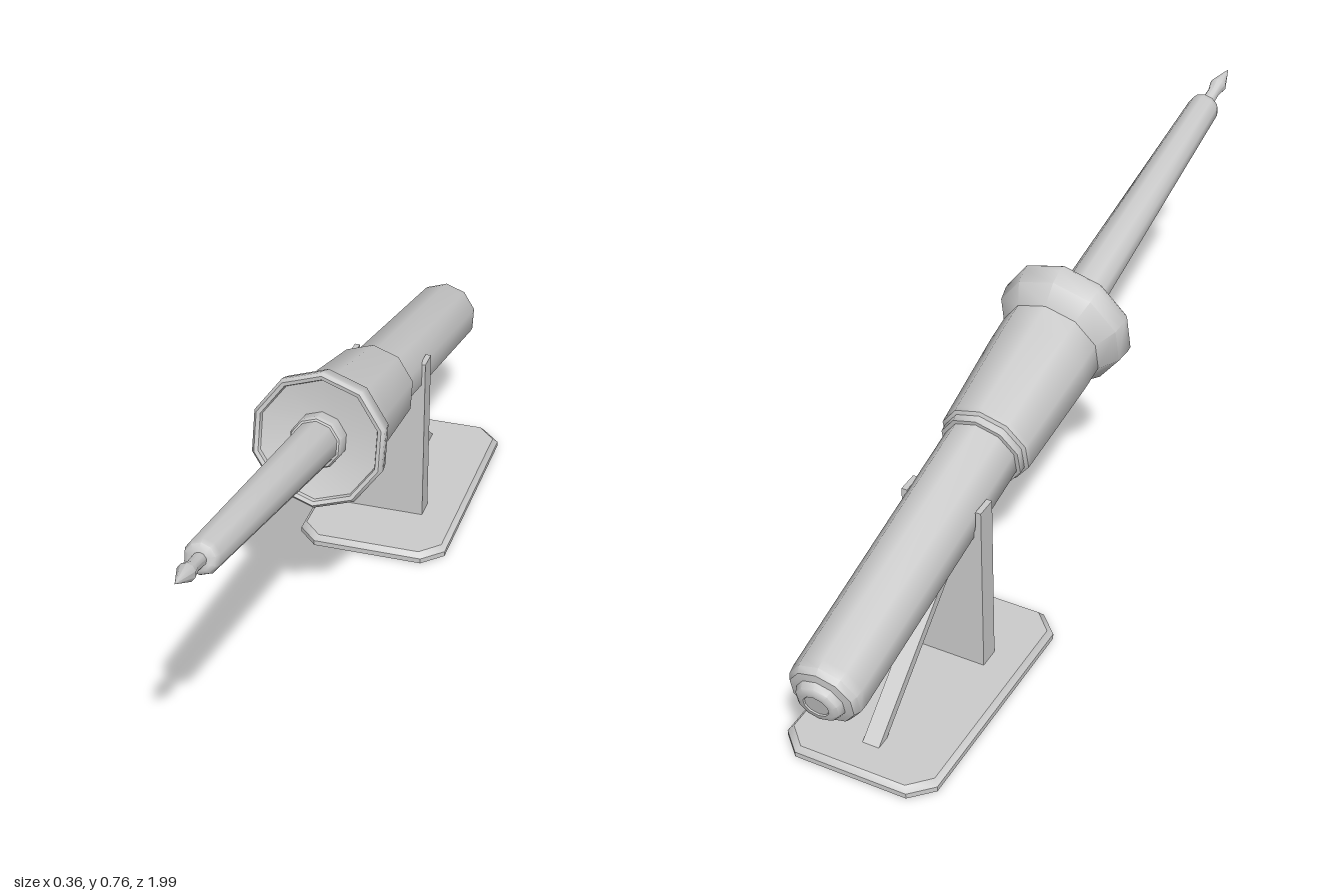
import * as THREE from 'three';
import { toCreasedNormals } from 'three/addons/utils/BufferGeometryUtils.js';

export function createModel() {
  const model = new THREE.Group();
  model.name = 'solderingIronOnStand';
  const grey = new THREE.MeshStandardMaterial({ color: 0xcccccc });
  grey.name = 'light grey';

  const add = (parent, name, geometry, crease = 0.7) => {
    const mesh = new THREE.Mesh(toCreasedNormals(geometry, crease), grey);
    mesh.name = name;
    parent.add(mesh);
    return mesh;
  };

  // Iron: ten-sided turned parts; profiles are [radius, distance behind the tip]
  const iron = new THREE.Group();
  iron.name = 'iron';
  const tilt = THREE.MathUtils.degToRad(13.1);
  iron.rotation.x = Math.PI / 2 - tilt;
  iron.position.set(0, 0.753, 1);
  model.add(iron);
  const turned = (name, profile) => {
    const points = profile.map(([r, s]) => new THREE.Vector2(r, -s)).reverse();
    add(iron, name, new THREE.LatheGeometry(points, 10));
  };

  turned('tip', [[0, 0], [0.02, 0.062], [0.014, 0.09], [0.016, 0.15]]);
  turned('barrel', [[0, 0.132], [0.024, 0.132], [0.033, 0.138], [0.038, 0.152], [0.053, 0.9]]);
  turned('barrelRing', [[0.05, 0.866], [0.057, 0.868], [0.061, 0.876], [0.061, 0.92]]);
  turned('collar', [
    [0.03, 0.912], [0.07, 0.91], [0.137, 0.896], [0.14, 0.887], [0.149, 0.884],
    [0.156, 0.892], [0.156, 0.906], [0.15, 0.94], [0.12, 0.985], [0.11, 0.99],
  ]);
  turned('grip', [[0.12, 0.96], [0.119, 1.05], [0.107, 1.29], [0.106, 1.303], [0.098, 1.308], [0.097, 1.325], [0.07, 1.327]]);
  turned('handle', [
    [0.088, 1.28], [0.084, 1.98], [0.082, 2.0], [0.074, 2.014], [0.056, 2.018],
    [0.05, 2.032], [0.042, 2.038], [0.03, 2.038], [0.028, 2.035], [0, 2.035],
  ]);

  // Stand
  const stand = new THREE.Group();
  stand.name = 'stand';
  model.add(stand);

  // Base plate with cut corners; the upper rim is drawn in
  const w = 0.182, front = -0.255, back = -0.88, cut = 0.048;
  const zMid = (front + back) / 2, d = (front - back) / 2;
  const outline = new THREE.Shape([
    [w, d - cut], [w - cut, d], [cut - w, d], [-w, d - cut],
    [-w, cut - d], [cut - w, -d], [w - cut, -d], [w, cut - d],
  ].map(([x, y]) => new THREE.Vector2(x, y)));
  const plate = new THREE.ExtrudeGeometry(outline, { depth: 0.025, steps: 2, bevelEnabled: false });
  const p = plate.attributes.position;
  for (let i = 0; i < p.count; i++) {
    if (p.getZ(i) > 0.02) p.setXY(i, p.getX(i) * 0.94, p.getY(i) * 0.965);
  }
  plate.rotateX(-Math.PI / 2).translate(0, 0, zMid);
  add(stand, 'basePlate', plate);

  // Rear slab of the post, with a cradle between two prongs
  const axisY = 0.418, px = 0.095, inner = 0.082, cx = -0.004;
  const fork = new THREE.Shape();
  fork.moveTo(-px, 0.005);
  fork.lineTo(px, 0.005);
  fork.lineTo(px, 0.45);
  fork.lineTo(inner, 0.45);
  fork.lineTo(inner, axisY);
  fork.absarc(0, axisY, inner, 0, Math.PI, true);
  fork.lineTo(-inner, 0.45);
  fork.lineTo(-px, 0.45);
  fork.closePath();
  const forkGeometry = new THREE.ExtrudeGeometry(fork, { depth: 0.05, bevelEnabled: false, curveSegments: 10 });
  forkGeometry.translate(cx, 0, -0.475);
  add(stand, 'cradlePost', forkGeometry);

  // Rounded front of the post, leaning back at its top
  const nose = new THREE.Shape();
  nose.moveTo(-px, 0);
  nose.lineTo(px, 0);
  nose.quadraticCurveTo(px, -0.03, px - 0.035, -0.03);
  nose.lineTo(0.035 - px, -0.03);
  nose.quadraticCurveTo(-px, -0.03, -px, 0);
  const noseGeometry = new THREE.ExtrudeGeometry(nose, { depth: 0.33, steps: 6, bevelEnabled: false, curveSegments: 4 });
  const n = noseGeometry.attributes.position;
  for (let i = 0; i < n.count; i++) {
    const lean = Math.max(0, n.getZ(i) - 0.27) / 0.06;
    n.setY(i, n.getY(i) * (1 - 0.8 * lean));
  }
  // Local -y faces forward and local z becomes height
  noseGeometry.rotateX(-Math.PI / 2).rotateY(Math.PI).translate(cx, 0.005, -0.427);
  add(stand, 'postFront', noseGeometry);

  // Sloping brace from the post to the rear of the base
  const top = new THREE.Vector2(-0.45, 0.305), foot = new THREE.Vector2(-0.795, 0.015);
  const length = top.distanceTo(foot);
  const brace = add(stand, 'brace', new THREE.BoxGeometry(0.04, 0.022, length));
  brace.position.set(cx, (top.y + foot.y) / 2, (top.x + foot.x) / 2);
  brace.rotation.x = -Math.atan2(top.y - foot.y, top.x - foot.x);

  return model;
}
